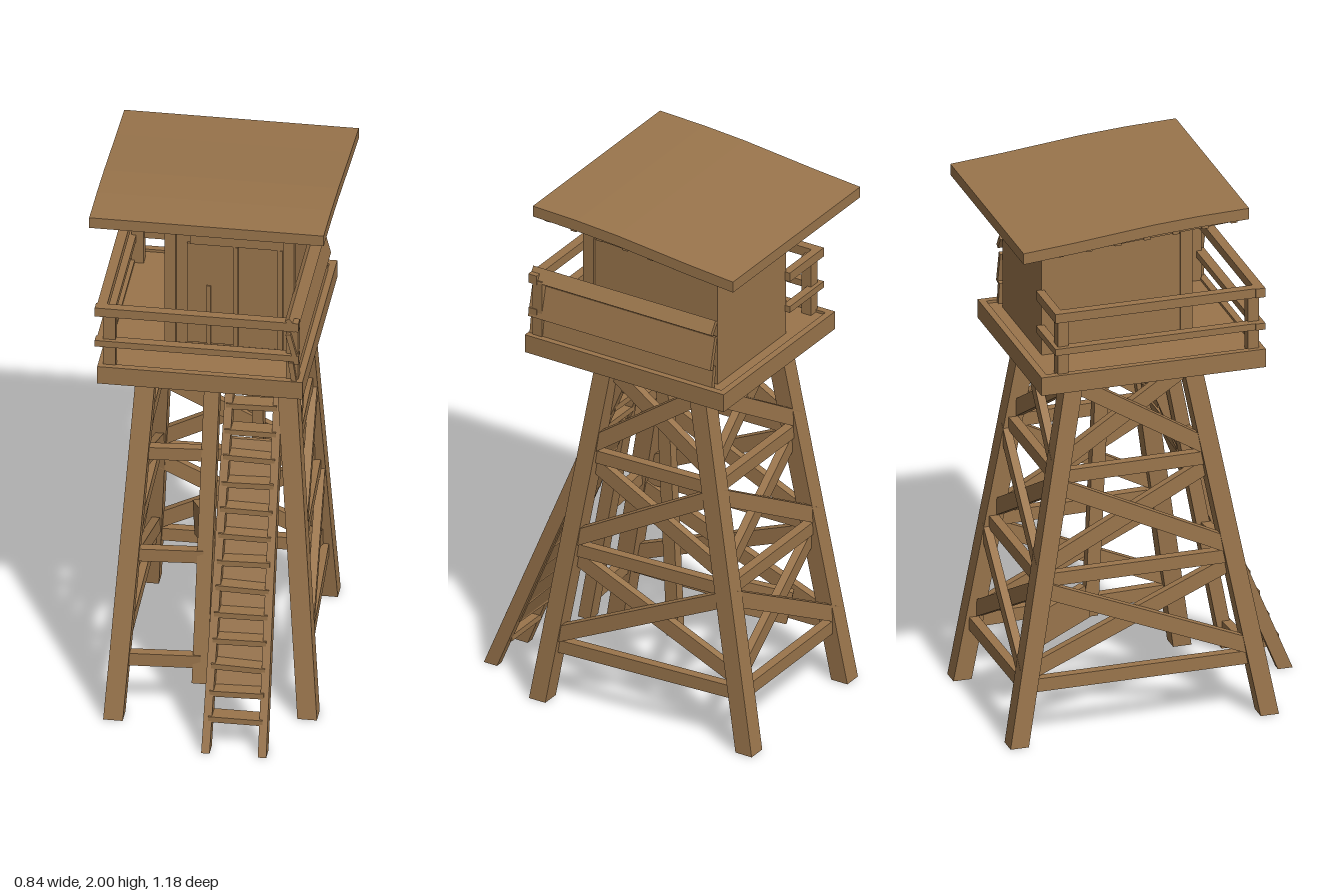
import * as THREE from 'three';

export function createModel() {
  const model = new THREE.Group();
  const wood = new THREE.MeshStandardMaterial({ color: 0x9a754c });
  wood.name = 'wood';
  const V = (p) => new THREE.Vector3(...p);

  function add(name, geometry, parent = model) {
    const mesh = new THREE.Mesh(geometry, wood);
    mesh.name = name;
    parent.add(mesh);
    return mesh;
  }
  function group(name) {
    const g = new THREE.Group();
    g.name = name;
    model.add(g);
    return g;
  }
  // Box given by its low and high limits on each axis
  function block(name, x0, x1, y0, y1, z0, z1, parent) {
    const mesh = add(name, new THREE.BoxGeometry(x1 - x0, y1 - y0, z1 - z0), parent);
    mesh.position.set((x0 + x1) / 2, (y0 + y1) / 2, (z0 + z1) / 2);
    return mesh;
  }
  // Straight plank between two points
  function beam(name, a, b, width, height, parent) {
    const p = V(a), q = V(b);
    const mesh = add(name, new THREE.BoxGeometry(width, height, p.distanceTo(q)), parent);
    mesh.position.copy(p).add(q).multiplyScalar(0.5);
    mesh.lookAt(q);
    return mesh;
  }
  // Leaning post with level ends
  function post(name, a, b, width, depth, parent) {
    const geo = new THREE.BoxGeometry(width, b[1] - a[1], depth);
    const pos = geo.attributes.position;
    for (let i = 0; i < pos.count; i++) {
      const end = pos.getY(i) < 0 ? a : b;
      pos.setXYZ(i, pos.getX(i) + end[0], end[1], pos.getZ(i) + end[2]);
    }
    geo.computeVertexNormals();
    return add(name, geo, parent);
  }

  // Four splayed legs and the posts beside and behind the ladder
  const legs = group('legs');
  const feet = {
    frontRight: [[0.365, 0, 0.28], [0.255, 1.37, 0.07]],
    frontLeft: [[-0.315, 0, 0.385], [-0.23, 1.37, 0.12]],
    backRight: [[0.315, 0, -0.555], [0.25, 1.37, -0.315]],
    backLeft: [[-0.325, 0, -0.55], [-0.24, 1.37, -0.315]],
  };
  for (const key in feet) post(key + 'Leg', ...feet[key], 0.07, 0.068, legs);
  post('frontMiddlePost', [-0.015, 0.14, 0.33], [0.0, 1.37, 0.1], 0.055, 0.05, legs);
  post('innerPost', [0.13, 0.26, -0.13], [0.13, 1.37, -0.08], 0.04, 0.05, legs);

  // Horizontal rails and crossed braces on three sides
  const bracing = group('bracing');
  const on = (key, y) => V(feet[key][0]).lerp(V(feet[key][1]), y / 1.37).toArray();
  const shift = (p, d) => [p[0] + d[0], p[1], p[2] + d[1]];
  const levels = [0.22, 0.61, 0.99, 1.37];
  const sides = [
    ['frontRight', 'backRight', [1, 0]],
    ['frontLeft', 'backLeft', [-1, 0]],
    ['backLeft', 'backRight', [0, -1]],
  ];
  for (const [p, q, n] of sides) {
    for (let i = 0; i < 3; i++) {
      const y0 = levels[i], lo = y0 + 0.04, hi = levels[i + 1] - 0.03;
      beam('rail', on(p, y0), on(q, y0), 0.035, 0.05, bracing);
      const out = n.map((v) => v * 0.014), inn = n.map((v) => v * -0.014);
      beam('brace', shift(on(p, lo), out), shift(on(q, hi), out), 0.03, 0.058, bracing);
      beam('brace', shift(on(p, hi), inn), shift(on(q, lo), inn), 0.03, 0.058, bracing);
    }
  }
  // Short rails from the front left leg to the middle post
  for (const y of levels.slice(0, 3)) {
    const a = on('frontLeft', y);
    beam('frontRail', a, [-0.015, y, a[2] - 0.02], 0.035, 0.05, bracing);
  }
  beam('loosePlank', [-0.03, 0.39, -0.2], [-0.14, 0.34, -0.44], 0.03, 0.13, bracing);

  // Ladder with a boarded middle section
  const ladder = group('ladder');
  const ladderZ = (y) => 0.565 - 0.41 * y;
  post('leftStringer', [0.042, 0, ladderZ(0)], [0.055, 1.37, ladderZ(1.37)], 0.03, 0.055, ladder);
  post('rightStringer', [0.245, 0, ladderZ(0)], [0.225, 1.37, ladderZ(1.37)], 0.03, 0.055, ladder);
  for (let i = 0; i < 15; i++) {
    const y = 0.115 + i * 0.087;
    const tread = block('tread', 0.045, 0.24 - i * 0.001, y - 0.011, y + 0.011,
      ladderZ(y) - 0.03, ladderZ(y) + 0.03, ladder);
    tread.rotation.z = 0.03 * Math.sin(i * 2.3);
  }
  post('backBoard', [0.145, 0.2, ladderZ(0.2) - 0.025], [0.142, 1.03, ladderZ(1.03) - 0.025], 0.185, 0.015, ladder);

  // Platform
  block('platform', -0.37, 0.345, 1.37, 1.42, -0.465, 0.35);
  const rim = group('platformRim');
  block('frontRim', -0.38, 0.355, 1.36, 1.43, 0.335, 0.36, rim);
  block('backRim', -0.38, 0.355, 1.36, 1.43, -0.475, -0.45, rim);
  for (const x of [-0.38, 0.33]) block('sideRim', x, x + 0.025, 1.36, 1.43, -0.45, 0.335, rim);

  // Cabin with corner posts, door and wall trim
  const cabin = group('cabin');
  block('cabinWalls', -0.165, 0.285, 1.42, 1.94, -0.405, 0.135, cabin);
  for (const x of [-0.17, 0.255])
    block('frontCornerPost', x, x + 0.04, 1.42, 1.945, 0.11, 0.155, cabin);
  block('door', -0.09, 0.08, 1.43, 1.84, 0.135, 0.144, cabin);
  for (const x of [0.075, 0.235]) block('doorTrim', x, x + 0.018, 1.43, 1.84, 0.135, 0.152, cabin);
  block('doorBatten', -0.02, -0.005, 1.43, 1.67, 0.135, 0.15, cabin);
  block('lintel', -0.08, 0.255, 1.84, 1.88, 0.135, 0.15, cabin);
  beam('upperTrim', [0.288, 1.88, 0.12], [0.288, 1.86, -0.39], 0.014, 0.035, cabin);

  // Open railing round the balcony
  const railing = group('railing');
  for (const [y0, y1] of [[1.635, 1.67], [1.51, 1.535]]) {
    block('frontHandrail', -0.39, 0.34, y0, y1, 0.32, 0.355, railing);
    block('sideHandrail', -0.385, -0.35, y0, y1, -0.41, 0.32, railing);
    block('backHandrail', -0.385, -0.16, y0, y1, -0.425, -0.395, railing);
  }
  for (const [x, z] of [[-0.34, 0.32], [0.315, 0.32], [-0.345, -0.39]])
    block('railPost', x - 0.022, x + 0.022, 1.42, 1.65, z - 0.02, z + 0.02, railing);

  // Overlapping boards on the right side, lower edges tipped outward
  const boards = group('sideBoards');
  for (const [x, y, h, tilt] of [[0.318, 1.463, 0.085, 0.15], [0.318, 1.56, 0.125, 0.25], [0.315, 1.66, 0.055, 0.6]]) {
    const b = block('sideBoard', x - 0.009, x + 0.009, y - h / 2, y + h / 2, -0.41, 0.355, boards);
    b.rotation.z = tilt;
  }

  // Gently curved roof slab
  const top = [[0.285, 2.0], [0.1, 1.994], [-0.07, 1.983], [-0.365, 1.953], [-0.555, 1.937]];
  const profile = [...top, ...top.map(([z, y]) => [z, y - 0.042]).reverse()];
  const roofShape = new THREE.Shape(profile.map(([z, y]) => new THREE.Vector2(-z, y)));
  const roofGeo = new THREE.ExtrudeGeometry(roofShape, { depth: 0.84, bevelEnabled: false });
  roofGeo.translate(0, 0, -0.42).rotateY(Math.PI / 2);
  add('roof', roofGeo);

  // Rafters and cross battens under the roof
  const rafters = group('rafters');
  const underside = (z) => 1.936 + 0.07 * Math.min(z, 0.25);
  for (let i = 0; i < 8; i++) {
    const x = -0.38 + i * 0.1086;
    beam('rafter', [x, underside(0.25), 0.25], [x, underside(-0.53), -0.53], 0.025, 0.018, rafters);
    const z = -0.52 + i * 0.108;
    block('batten', -0.4, 0.4, underside(z) - 0.011, underside(z) + 0.011, z - 0.012, z + 0.012, rafters);
  }
  return model;
}
